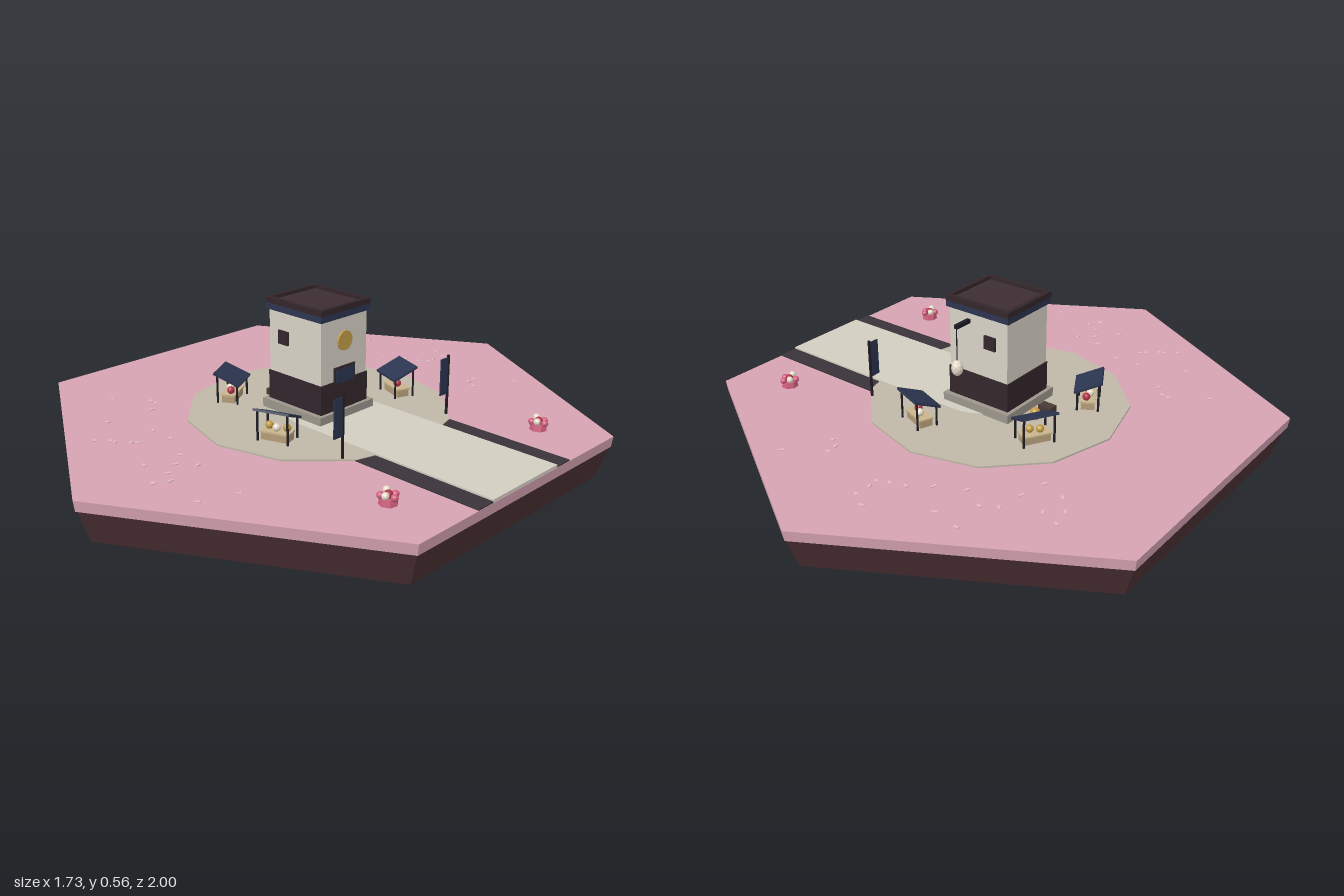
import * as THREE from 'three';

const mats = {};
function mat(color) {
  return mats[color] ??= new THREE.MeshStandardMaterial({ color, flatShading: true });
}
const PINK = 0xd6a3b2, SOIL = 0x4a3033, PAVING = 0xbfb8a8, ROAD = 0xd2cdc0, DARK = 0x3a343a;
const WALL = 0xd8d2c6, NAVY = 0x2c3550, SHADOW = 0x33262b, POST = 0x1e1c24, GOLD = 0xc49d48;
const WOOD = 0xb49c78, CREAM = 0xe6dccb, STONE = 0x9c968c, RED = 0xb03048, ROSE = 0xd0607e;

function add(parent, name, geometry, color, x = 0, y = 0, z = 0) {
  const mesh = new THREE.Mesh(geometry, mat(color));
  mesh.name = name;
  mesh.position.set(x, y, z);
  parent.add(mesh);
  return mesh;
}
// Box given by its bottom height and its height
function box(parent, name, w, h, d, color, x, bottom, z) {
  return add(parent, name, new THREE.BoxGeometry(w, h, d), color, x, bottom + h / 2, z);
}
// Upright cylinder or frustum given by its bottom height
function drum(parent, name, rTop, rBottom, h, sides, color, x, bottom, z) {
  return add(parent, name, new THREE.CylinderGeometry(rTop, rBottom, h, sides), color, x, bottom + h / 2, z);
}
function ball(parent, name, r, color, x, y, z) {
  return add(parent, name, new THREE.IcosahedronGeometry(r, 1), color, x, y, z);
}
function group(parent, name, x = 0, y = 0, z = 0) {
  const g = new THREE.Group();
  g.name = name;
  g.position.set(x, y, z);
  parent.add(g);
  return g;
}

function addGround(model) {
  const ground = group(model, 'ground');
  drum(ground, 'soil', 0.99, 0.95, 0.115, 6, SOIL, 0, 0, 0);
  drum(ground, 'grass', 1, 0.995, 0.037, 6, PINK, 0, 0.115, 0);
  drum(ground, 'plaza', 0.46, 0.46, 0.007, 12, PAVING, 0, 0.151, 0);

  // Road with a rounded end under the tower
  const road = new THREE.Shape();
  road.moveTo(0.865, -0.165);
  road.lineTo(0.865, 0.165);
  road.lineTo(0.07, 0.165);
  road.absellipse(0.07, 0, 0.17, 0.165, Math.PI / 2, Math.PI * 1.5, false);
  const slab = new THREE.ExtrudeGeometry(road, { depth: 0.011, bevelEnabled: false, curveSegments: 10 });
  slab.rotateX(-Math.PI / 2);
  add(ground, 'road', slab, ROAD, 0, 0.151, 0);
  for (const s of [-1, 1]) box(ground, 'roadVerge', 0.47, 0.006, 0.07, DARK, 0.63, 0.15, s * 0.2);

  // Scattered petals
  let seed = 7;
  const rand = () => (seed = (seed * 16807) % 2147483647) / 2147483647;
  for (let i = 0; i < 44; i++) {
    const side = i % 2 ? 1 : -1;
    const a = side * (Math.PI / 2 + (rand() - 0.3) * 1.5);
    const r = 0.55 + rand() * 0.25;
    const petal = box(ground, 'petal', 0.018, 0.003, 0.01, 0xe2b8c4, Math.cos(a) * r, 0.152, Math.sin(a) * r);
    petal.rotation.y = rand() * Math.PI;
  }
}

function addTower(model) {
  const tower = group(model, 'tower');
  box(tower, 'foundation', 0.28, 0.035, 0.262, STONE, 0, 0.155, 0);
  box(tower, 'lowerWall', 0.252, 0.105, 0.226, SHADOW, 0, 0.188, 0);
  box(tower, 'upperWall', 0.244, 0.225, 0.22, WALL, 0, 0.292, 0);

  // Roof slab with a raised rim
  box(tower, 'eaves', 0.262, 0.022, 0.236, NAVY, 0, 0.513, 0);
  box(tower, 'roofDeck', 0.24, 0.008, 0.21, 0x3d2d32, 0, 0.535, 0);
  for (const s of [-1, 1]) {
    box(tower, 'roofRim', 0.264, 0.02, 0.016, SHADOW, 0, 0.535, s * 0.111);
    box(tower, 'roofRim', 0.016, 0.02, 0.206, SHADOW, s * 0.124, 0.535, 0);
    box(tower, 'window', 0.046, 0.048, 0.012, SHADOW, -0.052, 0.4, s * 0.111);
  }

  // Door and clock on the road side
  box(tower, 'door', 0.012, 0.152, 0.1, SHADOW, 0.122, 0.19, 0);
  box(tower, 'doorCanopy', 0.016, 0.05, 0.09, NAVY, 0.122, 0.285, 0);
  const clock = add(tower, 'clock', new THREE.CylinderGeometry(0.034, 0.034, 0.012, 20), GOLD, 0.123, 0.43, 0);
  clock.rotation.z = Math.PI / 2;

  // Lantern on a bracket behind
  box(tower, 'lanternBracket', 0.014, 0.014, 0.075, POST, 0.04, 0.474, -0.14);
  drum(tower, 'lanternCord', 0.002, 0.002, 0.12, 5, POST, 0.04, 0.356, -0.173);
  ball(tower, 'lantern', 0.021, CREAM, 0.04, 0.33, -0.173).scale.y = 1.4;
}

// Market stall, local +z pointing away from the tower
function addStall(model, x, z, goods) {
  const stall = group(model, 'stall', x, 0.157, z);
  stall.rotation.y = Math.atan2(x, z);
  const roof = add(stall, 'stallRoof', new THREE.BoxGeometry(0.128, 0.008, 0.102), NAVY, 0, 0.091, 0);
  roof.rotation.x = -0.4;
  for (const sx of [-1, 1]) for (const sz of [-1, 1]) {
    drum(stall, 'stallPost', 0.004, 0.004, sz > 0 ? 0.104 : 0.076, 6, POST, sx * 0.054, 0, sz * 0.036);
  }
  box(stall, 'counter', 0.096, 0.026, 0.046, WOOD, 0, 0, 0);
  box(stall, 'counterTop', 0.102, 0.006, 0.052, 0xc9b48c, 0, 0.026, 0);
  goods.forEach((color, i) => {
    ball(stall, 'goods', 0.014, color, (i - (goods.length - 1) / 2) * 0.032, 0.044, (i % 2) * 0.012 - 0.006);
  });
}

function addBanner(model, z) {
  const banner = group(model, 'banner', 0.36, 0.155, z);
  drum(banner, 'bannerPole', 0.005, 0.005, 0.215, 6, POST, 0, 0, 0);
  box(banner, 'bannerCloth', 0.004, 0.13, 0.038, NAVY, 0, 0.078, 0.021);
}

function addBush(model, z) {
  const bush = group(model, 'flowerBush', 0.655, 0.152, z);
  drum(bush, 'bushBase', 0.026, 0.03, 0.02, 7, ROSE, 0, 0, 0);
  for (let i = 0; i < 5; i++) {
    const a = i * Math.PI * 0.4;
    ball(bush, 'blossom', 0.012, i % 2 ? CREAM : ROSE, Math.cos(a) * 0.023, 0.026 + (i % 2) * 0.008, Math.sin(a) * 0.023);
  }
  ball(bush, 'blossom', 0.014, RED, 0, 0.03, 0);
}

export function createModel() {
  const model = new THREE.Group();
  model.name = 'marketSquare';
  addGround(model);
  addTower(model);
  for (const s of [-1, 1]) {
    addStall(model, 0.107, s * 0.295, s > 0 ? [GOLD, CREAM, GOLD] : [RED, CREAM]);
    addStall(model, -0.272, s * 0.158, s > 0 ? [RED, CREAM, RED] : [GOLD, GOLD]);
    addBush(model, s * 0.38);
  }
  addBanner(model, 0.257);
  addBanner(model, -0.262);

  // Crate and gold pot behind the tower
  box(model, 'crate', 0.052, 0.022, 0.036, 0x4a3a34, -0.19, 0.158, 0.027);
  drum(model, 'potStand', 0.01, 0.014, 0.014, 8, WOOD, -0.19, 0.157, -0.043);
  ball(model, 'goldPot', 0.018, GOLD, -0.19, 0.183, -0.043);
  return model;
}
